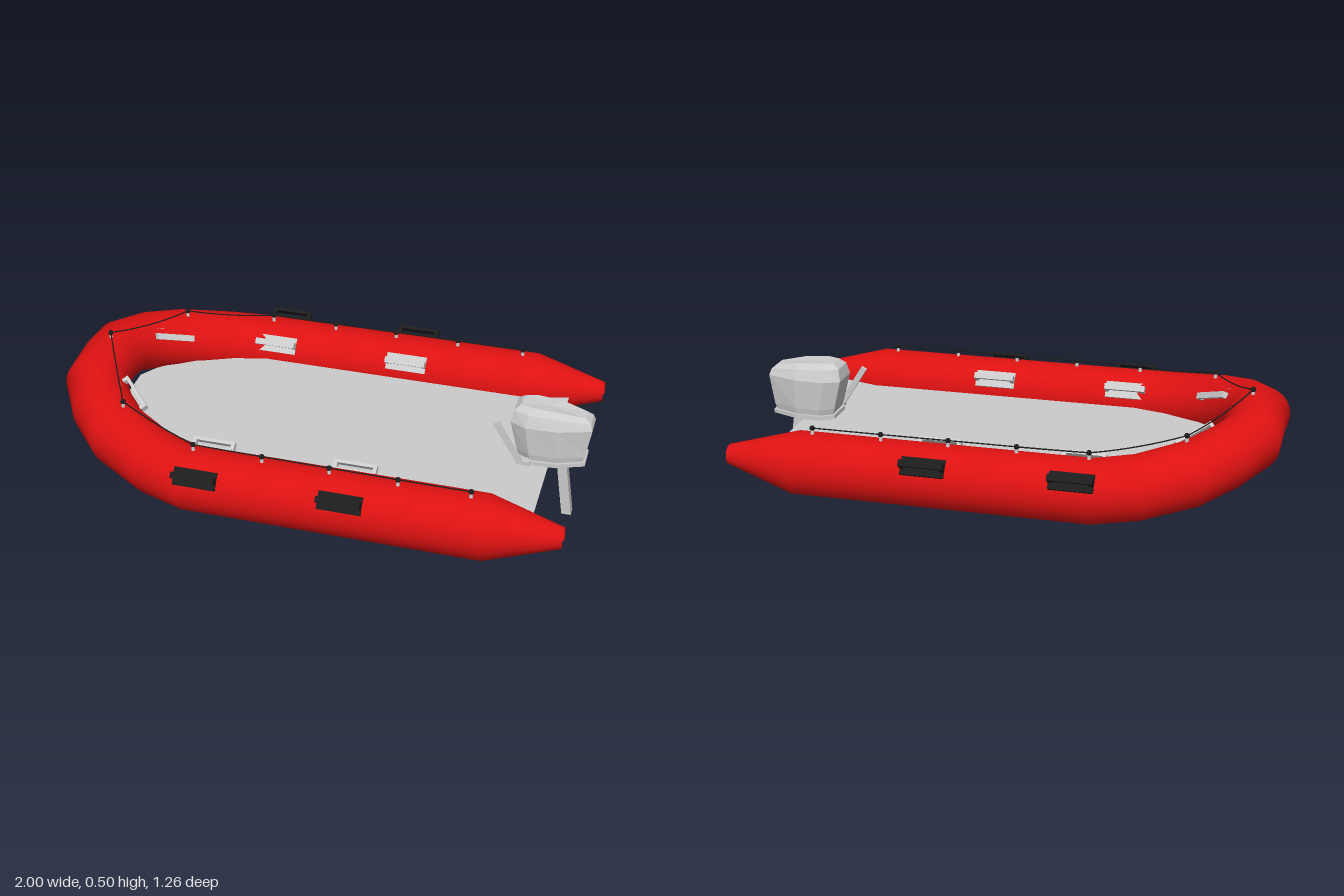
import * as THREE from 'three';

const mat = (color, extra = {}) => new THREE.MeshStandardMaterial({ color, side: THREE.DoubleSide, ...extra });
const red = mat(0xdd1111), grey = mat(0xcccccc), black = mat(0x1c1c1c);
const greyFlat = mat(0xcccccc, { flatShading: true });

// Skin between rows of points that all have the same length
function loft(rows) {
  const n = rows[0].length, index = [];
  for (let i = 0; i < rows.length - 1; i++) {
    for (let j = 0; j < n - 1; j++) {
      const a = i * n + j, b = a + n;
      index.push(a, a + 1, b, b, a + 1, b + 1);
    }
  }
  const g = new THREE.BufferGeometry().setFromPoints(rows.flat());
  g.setIndex(index);
  g.computeVertexNormals();
  return g;
}

function add(parent, name, geometry, material) {
  const m = new THREE.Mesh(geometry, material);
  m.name = name;
  parent.add(m);
  return m;
}

const V = (x, y, z) => new THREE.Vector3(x, y, z);
const R = 0.12;
// Half of the tube's centreline from stern to bow: x, y, z, radius
const half = [
  [0.98, 0.243, 0.49, 0.038], [0.71, 0.235, 0.49, R], [0.15, 0.235, 0.49, R], [-0.385, 0.235, 0.49, R],
  [-0.535, 0.25, 0.452, R], [-0.705, 0.284, 0.367, R], [-0.812, 0.318, 0.262, 0.117], [-0.888, 0.343, 0.138, 0.112],
];
const mirrored = half.slice().reverse().map(([x, y, z, r]) => [x, y, -z, r]);
const path = [...half, [-0.888, 0.361, 0, 0.112], ...mirrored];

// Horizontal outward direction at a path point, lengthened at the corners
function outward(i) {
  const dir = (a, b) => V(path[b][0] - path[a][0], 0, path[b][2] - path[a][2]).normalize();
  const d0 = dir(Math.max(i - 1, 0), Math.max(i, 1));
  const d1 = dir(Math.min(i, path.length - 2), Math.min(i + 1, path.length - 1));
  const d = d0.clone().add(d1).normalize();
  return V(d.z, 0, -d.x).divideScalar(d.dot(d0));
}

function tubePoint(i, angle) {
  const [x, y, z, r] = path[i];
  return V(x, y + Math.sin(angle) * r, z).addScaledVector(outward(i), Math.cos(angle) * r);
}

// Grab handle: plate, two legs and a bar, standing out along local +z
function handle(name, material) {
  const g = new THREE.Group();
  g.name = name;
  const box = (part, w, h, d, x, y, z) =>
    add(g, part, new THREE.BoxGeometry(w, h, d), material).position.set(x, y, z);
  box('plate', 0.16, 0.066, 0.012, 0, 0, 0);
  for (const s of [-1, 1]) box('leg', 0.014, 0.024, 0.036, s * 0.073, 0, 0.018);
  box('bar', 0.16, 0.024, 0.012, 0, 0, 0.036);
  return g;
}

export function createModel() {
  const model = new THREE.Group();
  model.name = 'inflatableBoat';

  // Buoyancy tube, open along its underside
  const start = -48 * Math.PI / 180, sweep = 276 * Math.PI / 180, sides = 18;
  const rings = path.map((_, i) =>
    Array.from({ length: sides + 1 }, (_, j) => tubePoint(i, start + sweep * j / sides)));
  add(model, 'buoyancyTube', loft(rings), red);

  // Hull bottom and floor, spanning the tube's inner lower edges
  const edge = path.slice(0, half.length + 1).map((_, i) => tubePoint(i, start + sweep)).slice(1);
  const across = p => [p, V(p.x, p.y, -p.z)];
  add(model, 'hullBottom', loft(edge.map(p => across(V(p.x, Math.min(p.y, 0.234), p.z)))), grey);
  const stern = V(0.855, 0.24, 0.49);
  add(model, 'sternSlope', loft([stern, edge[0]].map(across)), grey);
  add(model, 'floor', loft([stern, ...edge].map(p => across(V(p.x, 0.24, p.z)))), grey);

  // Grab handles on both sides, set by their facing direction and the run of the tube
  for (const s of [-1, 1]) {
    const place = (name, material, pos, dir, run) => {
      const h = handle(name, material);
      const x = V(run[0], run[1], s * run[2]).normalize();
      const y = V(dir[0], dir[1], s * dir[2]).cross(x).normalize();
      h.quaternion.setFromRotationMatrix(new THREE.Matrix4().makeBasis(x, y, x.clone().cross(y)));
      h.position.set(pos[0], pos[1], s * pos[2]);
      model.add(h);
    };
    for (const x of [-0.33, 0.205]) {
      place('outerHandle', black, [x, 0.306, 0.588], [0, 0.6, 0.8], [1, 0, 0]);
      place('innerHandle', grey, [x, 0.3, 0.395], [0, 0.6, -0.8], [1, 0, 0]);
    }
    place('bowHandle', grey, [-0.718, 0.361, 0.232], [0.56, 0.5, -0.66], [0.11, -0.05, 0.1]);
  }

  // Safety line with its eyelets
  const eyes = [[0.65, 0.377, 0.493], [0.39, 0.377, 0.493], [0.14, 0.377, 0.49], [-0.11, 0.377, 0.488],
    [-0.37, 0.379, 0.485], [-0.69, 0.423, 0.35], [-0.875, 0.49, 0]];
  const line = [...eyes, ...eyes.slice(0, -1).reverse().map(([x, y, z]) => [x, y, -z])].map(p => V(...p));
  for (let i = 0; i < line.length - 1; i++) {
    // Only the sloping lengths around the bow hang slack
    const sag = Math.abs(line[i].y - line[i + 1].y) * 0.4;
    const middle = line[i].clone().lerp(line[i + 1], 0.5).sub(V(0, sag, 0));
    const curve = new THREE.QuadraticBezierCurve3(line[i], middle, line[i + 1]);
    add(model, 'safetyLine', new THREE.TubeGeometry(curve, 10, 0.0025, 6), black);
  }
  for (const p of line) {
    add(model, 'eyelet', new THREE.SphereGeometry(0.01, 10, 8), black).position.copy(p);
    add(model, 'eyeletPost', new THREE.CylinderGeometry(0.005, 0.008, 0.03, 8), grey)
      .position.set(p.x, p.y - 0.015, p.z);
  }

  // Outboard motor
  const motor = new THREE.Group();
  motor.name = 'outboardMotor';
  model.add(motor);

  // Horizontal eight-sided ring: height, front, back, half width, fall of the top towards the stern
  const ring = ([y, x0, x1, w, fall]) => {
    const L = x1 - x0;
    const side = [[x0, 0.65 * w], [x0 + 0.2 * L, w], [x0 + 0.6 * L, 0.95 * w], [x1, 0.5 * w]];
    return [...side, ...side.slice().reverse().map(([x, z]) => [x, -z]), side[0]]
      .map(([x, z]) => V(x, y - fall * Math.max(0, x - 0.84), z));
  };
  // Stack of rings closed at both ends
  const stack = levels => {
    const r = levels.map(ring);
    const cap = c => c.map(() => c.reduce((s, p) => s.add(p), V(0, 0, 0)).divideScalar(c.length));
    return loft([cap(r[0]), ...r, cap(r[r.length - 1])]);
  };
  add(motor, 'cowl', stack([[0.262, 0.74, 0.975, 0.08, 0], [0.285, 0.732, 0.982, 0.084, 0],
    [0.4, 0.703, 1.0, 0.088, 0], [0.445, 0.712, 0.992, 0.07, 0.14], [0.465, 0.735, 0.97, 0.047, 0.18]]), greyFlat);
  add(motor, 'mountPlate', stack([[0.246, 0.73, 0.985, 0.09, 0], [0.262, 0.73, 0.985, 0.09, 0]]), greyFlat);

  // Leg leaning back to the waterline
  const leg = new THREE.BoxGeometry(0.036, 0.26, 0.04);
  const pos = leg.attributes.position;
  for (let i = 0; i < pos.count; i++) pos.setX(i, pos.getX(i) - pos.getY(i) * 0.15);
  add(motor, 'leg', leg, grey).position.set(0.912, 0.13, 0);

  // Steering tiller
  const tiller = add(motor, 'tiller', new THREE.BoxGeometry(0.022, 0.18, 0.014), grey);
  tiller.position.set(0.706, 0.334, 0.097);
  tiller.rotation.z = 0.56;
  add(motor, 'tillerBracket', new THREE.BoxGeometry(0.05, 0.016, 0.03), grey).position.set(0.765, 0.258, 0.089);

  return model;
}
